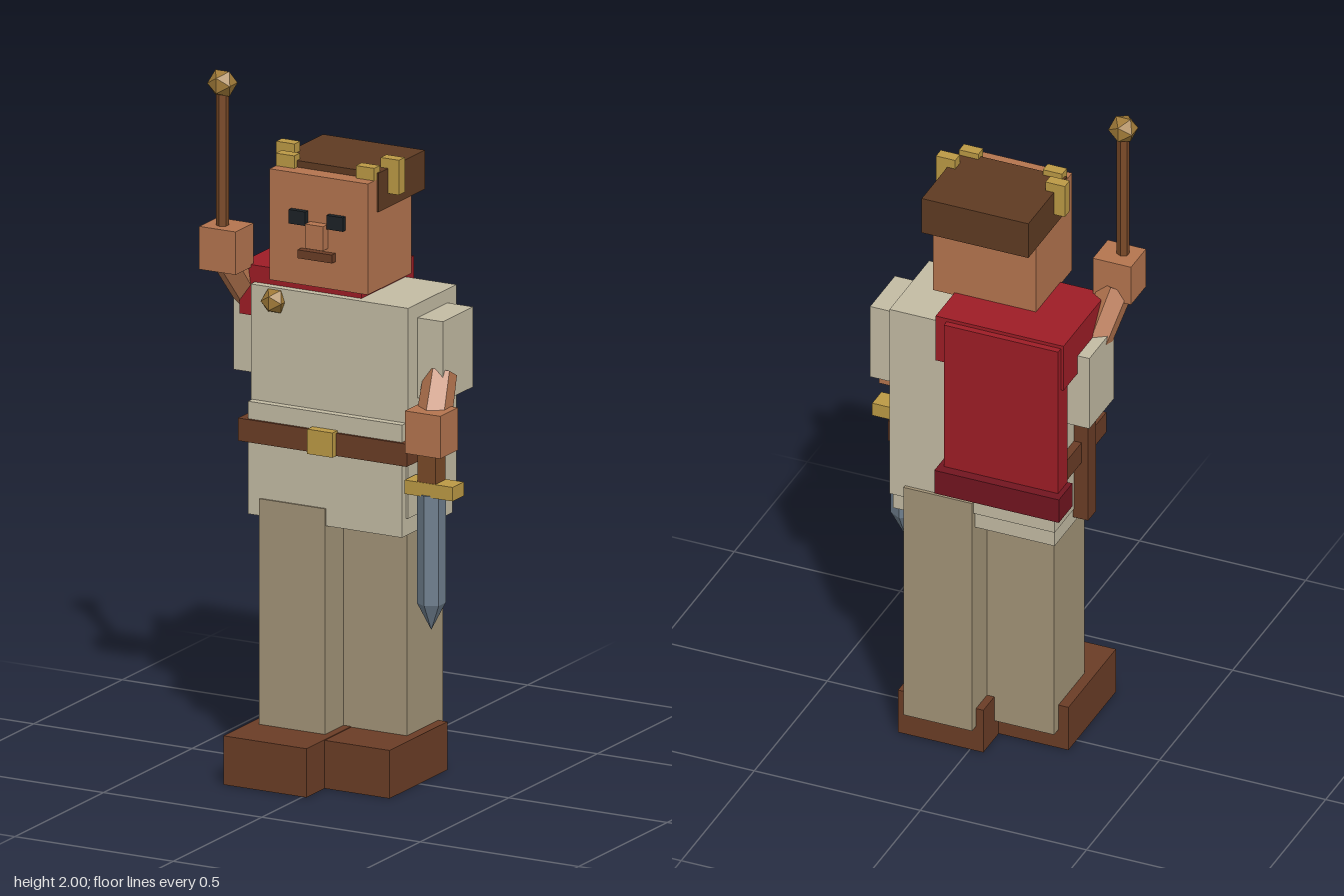
import * as THREE from 'three';

const COLORS = {
  skin: 0xb5754f, hair: 0x5f3b22, tunic: 0xc4bca4, trousers: 0xa39478, leather: 0x6b3d26,
  red: 0x9e1d26, darkRed: 0x721520, gold: 0xbc9a45, bronze: 0xa07a38, steel: 0x6f7f8e, black: 0x1c2227,
  wood: 0x7a4a28,
};
const materials = {};
for (const [key, color] of Object.entries(COLORS)) {
  materials[key] = new THREE.MeshStandardMaterial({ color, flatShading: true });
}
const armMaterial = new THREE.MeshStandardMaterial({
  color: COLORS.skin, flatShading: true, side: THREE.DoubleSide,
});

export function createModel() {
  const model = new THREE.Group();
  model.name = 'guard';

  const add = (name, geometry, material, x, y, z) => {
    const mesh = new THREE.Mesh(geometry, material);
    mesh.name = name;
    mesh.position.set(x, y, z);
    model.add(mesh);
    return mesh;
  };
  // Box given by its [min, max] range on each axis
  const box = (name, key, [x0, x1], [y0, y1], [z0, z1]) => add(
    name, new THREE.BoxGeometry(x1 - x0, y1 - y0, z1 - z0), materials[key],
    (x0 + x1) / 2, (y0 + y1) / 2, (z0 + z1) / 2);
  // Six-sided open limb between two points
  const limb = (name, from, to, r0, r1) => {
    const a = new THREE.Vector3(...from), b = new THREE.Vector3(...to);
    const dir = b.clone().sub(a), mid = a.clone().add(b).multiplyScalar(0.5);
    const mesh = add(name, new THREE.CylinderGeometry(r1, r0, dir.length(), 6, 1, true),
      armMaterial, mid.x, mid.y, mid.z);
    mesh.quaternion.setFromUnitVectors(new THREE.Vector3(0, 1, 0), dir.normalize());
  };

  // Boots and legs, right foot forward
  box('rightBoot', 'leather', [-0.25, 0.012], [0, 0.14], [-0.055, 0.27]);
  box('leftBoot', 'leather', [-0.04, 0.217], [0, 0.138], [-0.16, 0.167]);
  box('rightLeg', 'trousers', [-0.22, -0.012], [0.06, 0.787], [-0.085, 0.122]);
  box('leftLeg', 'trousers', [-0.018, 0.188], [0.08, 0.825], [-0.187, 0.017]);

  // Tunic and belt
  box('torso', 'tunic', [-0.262, 0.235], [0.787, 1.39], [-0.177, 0.094]);
  box('tunicSkirt', 'tunic', [-0.258, 0.228], [0.737, 1.06], [-0.168, 0.117]);
  box('leftSleeve', 'tunic', [0.23, 0.315], [1.12, 1.35], [-0.128, 0.042]);
  box('rightSleeve', 'tunic', [-0.345, -0.255], [1.12, 1.35], [-0.128, 0.042]);
  box('belt', 'leather', [-0.285, 0.248], [0.945, 1.01], [-0.157, 0.125]);
  box('beltBuckle', 'gold', [-0.055, 0.025], [0.945, 1.016], [0.115, 0.146]);
  box('scabbard', 'leather', [-0.305, -0.26], [0.76, 1.075], [-0.045, 0.008]);

  // Cape hung from the right shoulder
  box('capeShoulder', 'red', [-0.31, 0.075], [1.293, 1.438], [-0.225, 0.071]);
  box('capePanel', 'red', [-0.302, 0.042], [0.92, 1.428], [-0.244, -0.178]);
  box('capeHem', 'darkRed', [-0.317, 0.058], [0.89, 0.965], [-0.273, -0.18]);
  add('brooch', new THREE.IcosahedronGeometry(0.038, 0), materials.bronze, -0.187, 1.352, 0.095);

  // Arms and hands
  limb('rightForearm', [-0.302, 1.31, 0], [-0.33, 1.45, 0.09], 0.046, 0.05);
  limb('leftForearm', [0.305, 1.06, 0.08], [0.287, 1.19, 0.005], 0.05, 0.046);
  box('rightHand', 'skin', [-0.39, -0.275], [1.43, 1.553], [0.055, 0.157]);
  box('leftHand', 'skin', [0.25, 0.362], [0.988, 1.11], [0.04, 0.14]);

  // Sceptre
  add('sceptreRod', new THREE.CylinderGeometry(0.018, 0.018, 0.48, 6), materials.wood, -0.341, 1.69, 0.113);
  add('sceptreHead', new THREE.IcosahedronGeometry(0.042, 0), materials.bronze, -0.341, 1.96, 0.113);

  // Short sword pointing down
  box('swordGrip', 'wood', [0.278, 0.334], [0.89, 1.0], [0.062, 0.118]);
  box('swordGuard', 'gold', [0.238, 0.39], [0.865, 0.905], [0.057, 0.12]);
  add('swordBlade', new THREE.CylinderGeometry(0.04, 0.04, 0.315, 6), materials.steel, 0.305, 0.712, 0.089);
  add('swordTip', new THREE.CylinderGeometry(0.04, 0, 0.078, 6), materials.steel, 0.305, 0.516, 0.089);

  // Head and face
  box('head', 'skin', [-0.17, 0.14], [1.43, 1.748], [-0.095, 0.152]);
  box('hair', 'hair', [-0.176, 0.145], [1.655, 1.767], [-0.161, 0.101]);
  box('nose', 'skin', [-0.042, 0.014], [1.545, 1.615], [0.14, 0.181]);
  box('mouth', 'leather', [-0.07, 0.038], [1.511, 1.535], [0.14, 0.173]);
  for (const [name, x] of [['rightEye', -0.075], ['leftEye', 0.044]]) {
    box(name, 'black', [x - 0.026, x + 0.026], [1.605, 1.645], [0.14, 0.168]);
  }

  // Gilded wreath leaves, mirrored about the head
  const headX = -0.015;
  for (const [side, s] of [['right', -1], ['left', 1]]) {
    const leaf = (name, dx, y, z) => add(side + name,
      new THREE.BoxGeometry(0.058, 0.1, 0.033), materials.gold, headX + s * dx, y, z);
    leaf('TempleLeaf', 0.165, 1.745, 0.03);
    leaf('BrowLeaf', 0.126, 1.734, 0.1);
  }
  return model;
}
